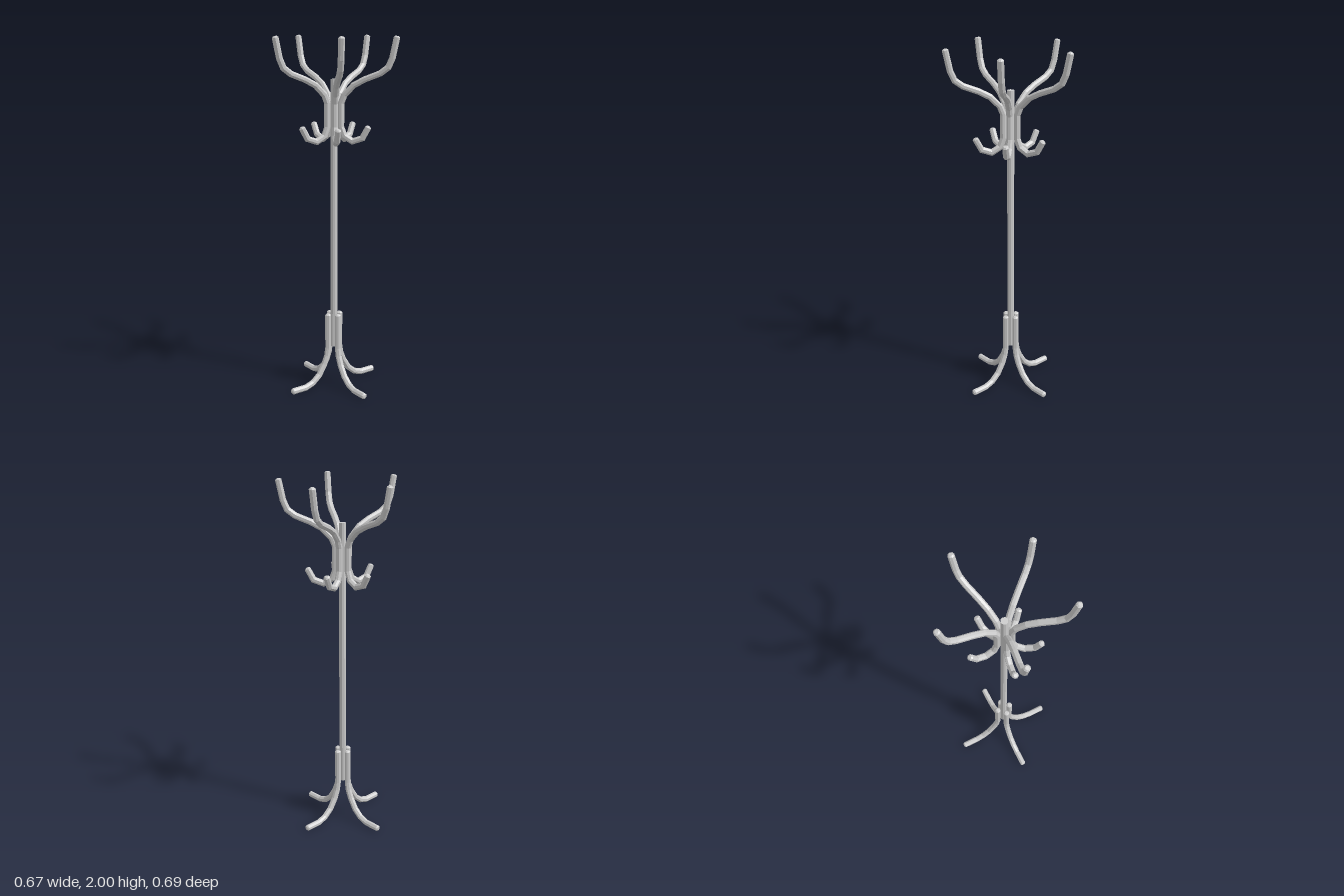
import * as THREE from 'three';

const SIDES = 8;
const material = new THREE.MeshStandardMaterial({ color: 0xcccccc, flatShading: true });

// Faceted rod swept along a planar path of [radius, height] points, with mitred bends and bevelled ends
function bentRod(path, radius) {
  const pts = path.map(([x, y]) => new THREE.Vector2(x, y));
  const n = pts.length;
  const bevel = radius * 0.4;
  const dirs = pts.slice(1).map((p, i) => p.clone().sub(pts[i]).normalize());
  const rings = pts.map((p, i) => {
    const a = dirs[Math.max(i - 1, 0)], b = dirs[Math.min(i, n - 2)];
    const t = a.clone().add(b).normalize();
    return { p, t, r: radius, stretch: 1 / t.dot(a) };
  });
  // pull the end rings in and add small bevel rings at the true ends
  const first = rings[0], last = rings[n - 1];
  const start = { ...first, p: first.p.clone(), r: radius * 0.55 };
  const end = { ...last, p: last.p.clone(), r: radius * 0.55 };
  first.p = first.p.clone().addScaledVector(first.t, bevel);
  last.p = last.p.clone().addScaledVector(last.t, -bevel);
  const all = [start, ...rings, end];

  const positions = [], index = [];
  for (const { p, t, r, stretch } of all) {
    for (let k = 0; k < SIDES; k++) {
      const a = ((k + 0.5) / SIDES) * Math.PI * 2;
      const u = Math.cos(a) * r * stretch;
      positions.push(p.x - t.y * u, p.y + t.x * u, Math.sin(a) * r);
    }
  }
  for (let i = 0; i < all.length - 1; i++) {
    for (let k = 0; k < SIDES; k++) {
      const k2 = (k + 1) % SIDES;
      const a = i * SIDES + k, b = i * SIDES + k2;
      index.push(a, b, a + SIDES, b, b + SIDES, a + SIDES);
    }
  }
  // end caps
  const top = (all.length - 1) * SIDES;
  for (let k = 1; k < SIDES - 1; k++) {
    index.push(0, k + 1, k, top, top + k, top + k + 1);
  }
  const g = new THREE.BufferGeometry();
  g.setAttribute('position', new THREE.Float32BufferAttribute(positions, 3));
  g.setIndex(index);
  g.computeVertexNormals();
  return g;
}

export function createModel() {
  const group = new THREE.Group();
  const stand = new THREE.Group();
  stand.name = 'coatStand';
  stand.position.set(0.023, 0, -0.01);
  group.add(stand);

  const add = (name, geometry, degrees = 0) => {
    const mesh = new THREE.Mesh(geometry, material);
    mesh.name = name;
    mesh.rotation.y = THREE.MathUtils.degToRad(-degrees);
    stand.add(mesh);
    return mesh;
  };

  // Central pole
  add('pole', new THREE.CylinderGeometry(0.02, 0.02, 1.54, 10)).position.y = 1.0;

  // Four curved legs
  const leg = bentRod([
    [0.04, 0.432], [0.04, 0.225], [0.048, 0.178], [0.068, 0.128],
    [0.105, 0.07], [0.15, 0.033], [0.2, 0.0165], [0.296, 0.0165],
  ], 0.0178);
  for (let i = 0; i < 4; i++) add('leg' + (i + 1), leg, i * 90);

  // Five arms, each a tall upper branch and a small lower hook
  const arm = bentRod([
    [0.196, 1.517], [0.16, 1.451], [0.105, 1.432], [0.058, 1.46],
    [0.04, 1.51], [0.04, 1.64], [0.058, 1.685], [0.11, 1.738],
    [0.17, 1.77], [0.255, 1.803], [0.298, 1.835], [0.32, 1.885], [0.344, 2.0],
  ], 0.0178);
  for (let i = 0; i < 5; i++) add('arm' + (i + 1), arm, 180 + i * 70);

  return group;
}
